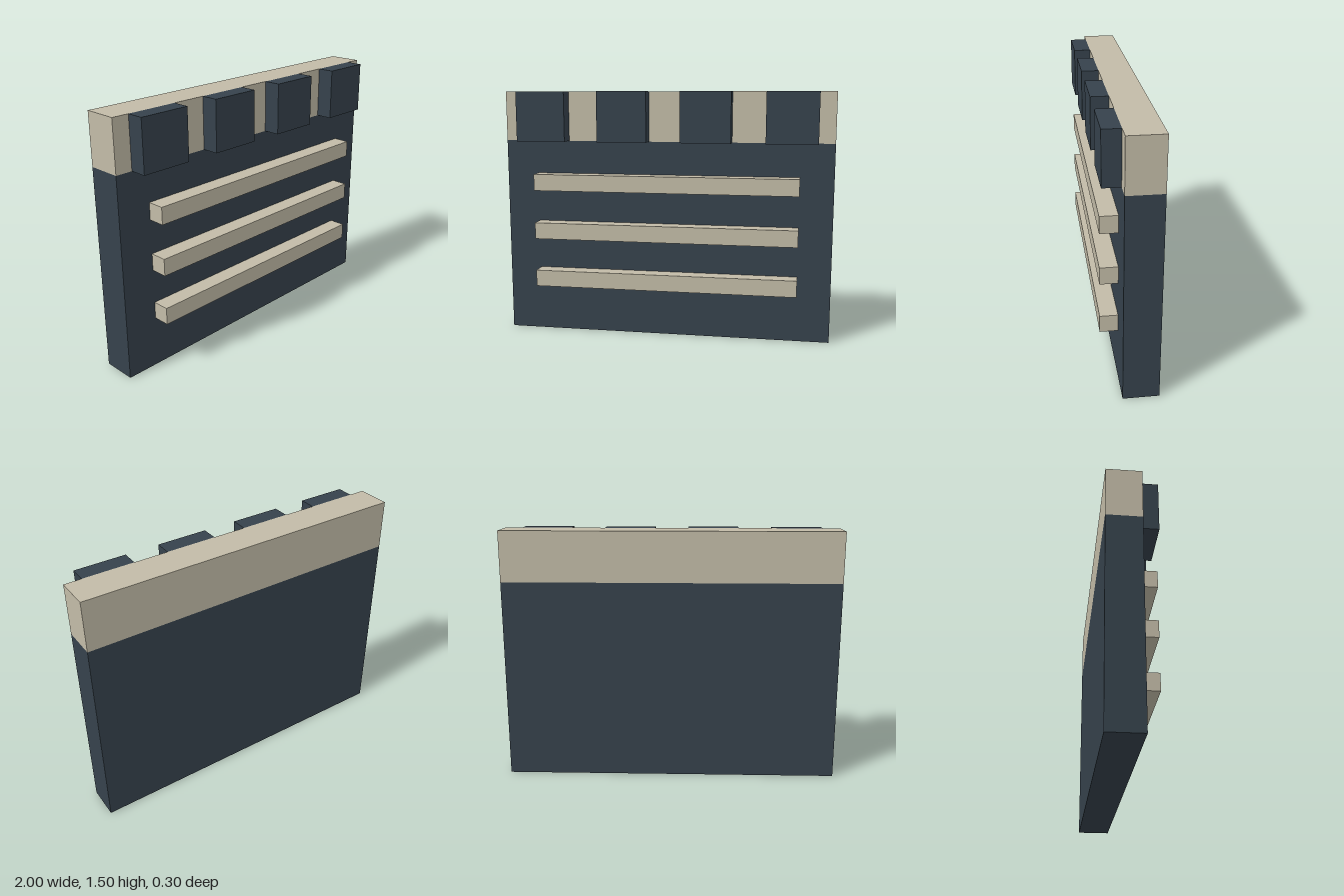
import * as THREE from 'three';

export function createModel() {
  const model = new THREE.Group();
  model.name = 'calendarBoard';
  const dark = new THREE.MeshStandardMaterial({ color: 0x36424c });
  const beige = new THREE.MeshStandardMaterial({ color: 0xc2bba7 });

  // Box placed by its centre x, its bottom y and its back z
  const addBox = (name, material, [w, h, d], x, bottom, back) => {
    const mesh = new THREE.Mesh(new THREE.BoxGeometry(w, h, d), material);
    mesh.name = name;
    mesh.position.set(x, bottom + h / 2, back + d / 2);
    model.add(mesh);
  };

  // Main slab with the header strip on top
  addBox('panel', dark, [2, 1.2, 0.2], 0, 0, -0.15);
  addBox('header', beige, [2, 0.3, 0.2], 0, 1.2, -0.15);

  // Four blocks across the front of the header
  [-0.75, -0.25, 0.25, 0.75].forEach((x, i) =>
    addBox(`headerBlock${i + 1}`, dark, [0.3, 0.3, 0.1], x, 1.2, 0.05));

  // Three raised bars on the panel
  [0.3, 0.6, 0.9].forEach((y, i) =>
    addBox(`bar${i + 1}`, beige, [1.6, 0.1, 0.1], 0, y, 0.05));

  return model;
}
